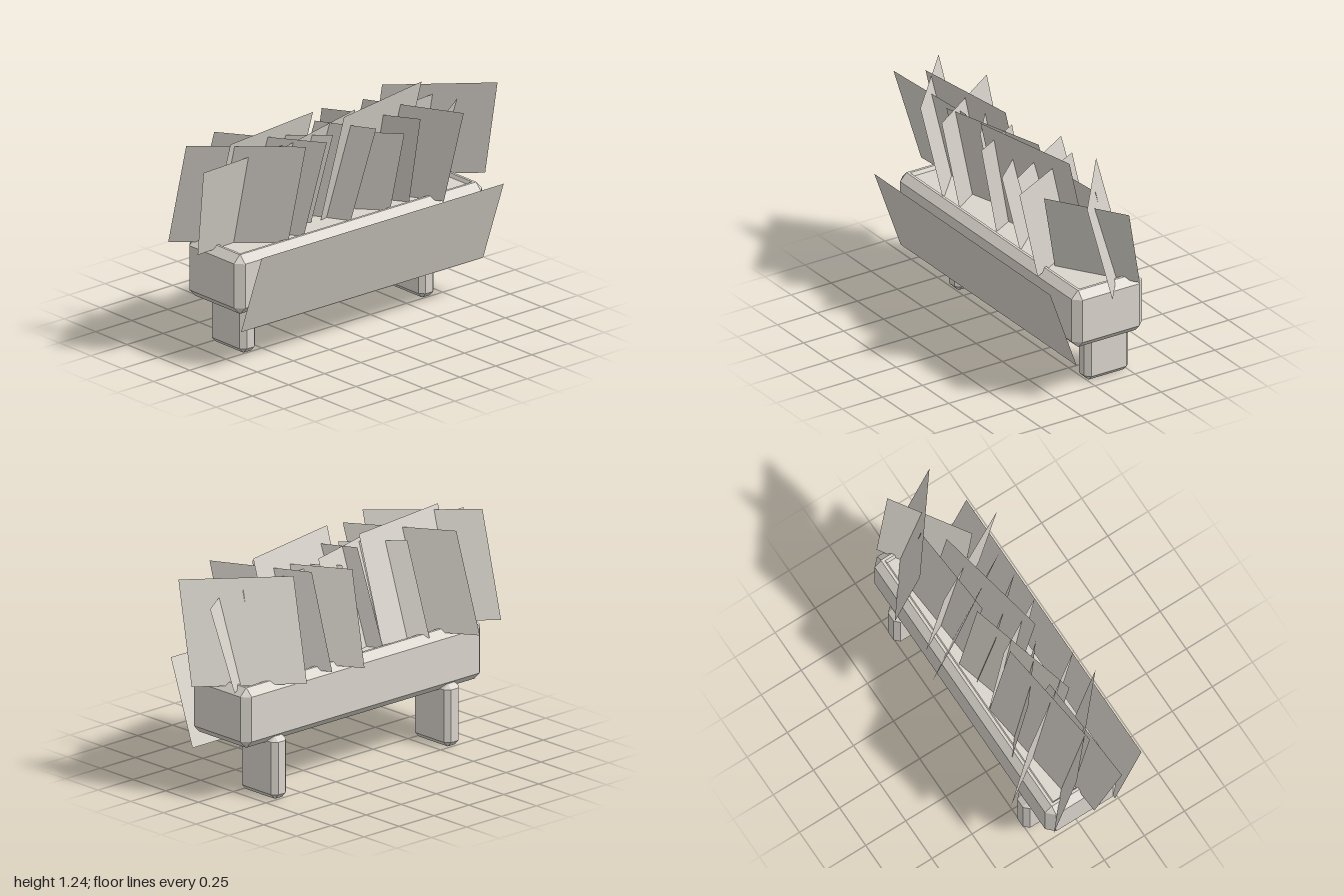
import * as THREE from 'three';

const stone = new THREE.MeshStandardMaterial({ color: 0xd9d4cc, side: THREE.DoubleSide });
stone.name = 'pale stone';

// Flat-shaded surface from a list of corner triples, one quad per four points
function quads(list) {
  const pos = [];
  for (const [a, b, c, d] of list) pos.push(...a, ...b, ...c, ...a, ...c, ...d);
  const g = new THREE.BufferGeometry();
  g.setAttribute('position', new THREE.Float32BufferAttribute(pos, 3));
  g.computeVertexNormals();
  return g;
}

// Rectangle ring with cut corners, counter-clockwise seen from below
function ring([x0, x1], [z0, z1], chamfer, inset, y) {
  const cut = Math.max(chamfer - inset, 0.001);
  const a = x0 + inset, b = x1 - inset, c = z0 + inset, d = z1 - inset;
  return [
    [a + cut, y, c], [b - cut, y, c], [b, y, c + cut], [b, y, d - cut],
    [b - cut, y, d], [a + cut, y, d], [a, y, d - cut], [a, y, c + cut],
  ];
}

// Closed block lofted through rings given as [inset, y], bottom to top
function chamferedBlock(xs, zs, chamfer, profile) {
  const rings = profile.map(([inset, y]) => ring(xs, zs, chamfer, inset, y));
  const faces = [];
  for (let k = 0; k < rings.length - 1; k++) {
    for (let i = 0; i < 8; i++) {
      const j = (i + 1) % 8;
      faces.push([rings[k][j], rings[k][i], rings[k + 1][i], rings[k + 1][j]]);
    }
  }
  const bottom = rings[0], top = rings[rings.length - 1];
  for (const i of [1, 3, 5]) {
    faces.push([bottom[0], bottom[i], bottom[i + 1], bottom[i + 2]]);
    faces.push([top[0], top[i + 2], top[i + 1], top[i]]);
  }
  return quads(faces);
}

export function createModel() {
  const model = new THREE.Group();
  model.name = 'windowPlanter';
  const add = (name, geometry, parent = model) => {
    const mesh = new THREE.Mesh(geometry, stone);
    mesh.name = name;
    parent.add(mesh);
  };

  // Trough with a shallow recessed bed
  add('trough', chamferedBlock([-0.835, 0.88], [-0.235, 0.205], 0.042, [
    [0.04, 0.312], [0, 0.353], [0, 0.6], [0.04, 0.642], [0.055, 0.642], [0.065, 0.622],
  ]));

  // Supporting brackets
  for (const [name, x] of [['rightBracket', -0.592], ['leftBracket', 0.645]]) {
    add(name, chamferedBlock([x - 0.053, x + 0.053], [-0.26, 0.015], 0.027, [
      [0.027, 0], [0, 0.028], [0, 0.318], [0.027, 0.345],
    ]));
  }

  // Hanging foliage card leaning away from the front
  add('trailingFoliage', quads([[
    [-0.81, 0.22, 0.19], [0.865, 0.22, 0.19], [0.865, 0.68, 0.355], [-0.81, 0.68, 0.355],
  ]]));

  // Upright foliage cards: top edge x, z to x, z, top height, sideways shift of the foot
  const foliage = new THREE.Group();
  foliage.name = 'uprightFoliage';
  model.add(foliage);
  const cards = [
    [-1.0, 0.11, -0.37, 0.07, 1.135, 0.07],
    [-0.92, -0.12, -0.455, 0.30, 1.2, 0],
    [-0.77, 0.06, -0.13, -0.02, 1.222, -0.03],
    [-0.63, -0.23, -0.29, 0.275, 1.175, -0.04],
    [-0.45, 0.14, 0.17, -0.03, 1.158, -0.03],
    [-0.41, -0.09, -0.13, 0.14, 1.14, -0.04],
    [-0.08, 0.17, 0.57, 0.04, 1.235, -0.03],
    [-0.1, -0.04, 0.065, 0.26, 1.16, -0.06],
    [0.0, -0.03, 0.26, 0.26, 1.083, 0],
    [0.1, -0.215, 0.385, 0.245, 1.13, 0.03],
    [0.18, 0.01, 0.71, -0.03, 1.11, 0],
    [0.32, -0.14, 0.582, 0.362, 1.147, -0.025],
    [0.487, -0.18, 0.965, 0.19, 1.174, 0.033],
    [0.57, 0.2, 0.977, -0.065, 1.077, -0.07],
  ];
  const foot = 0.622;
  cards.forEach(([x0, z0, x1, z1, top, shift], i) => {
    const lean = (top - foot) * 0.248;
    add('foliageCard' + (i + 1), quads([[
      [x0 + shift, foot, z0 - lean], [x1 + shift, foot, z1 - lean], [x1, top, z1], [x0, top, z0],
    ]]), foliage);
  });
  return model;
}
